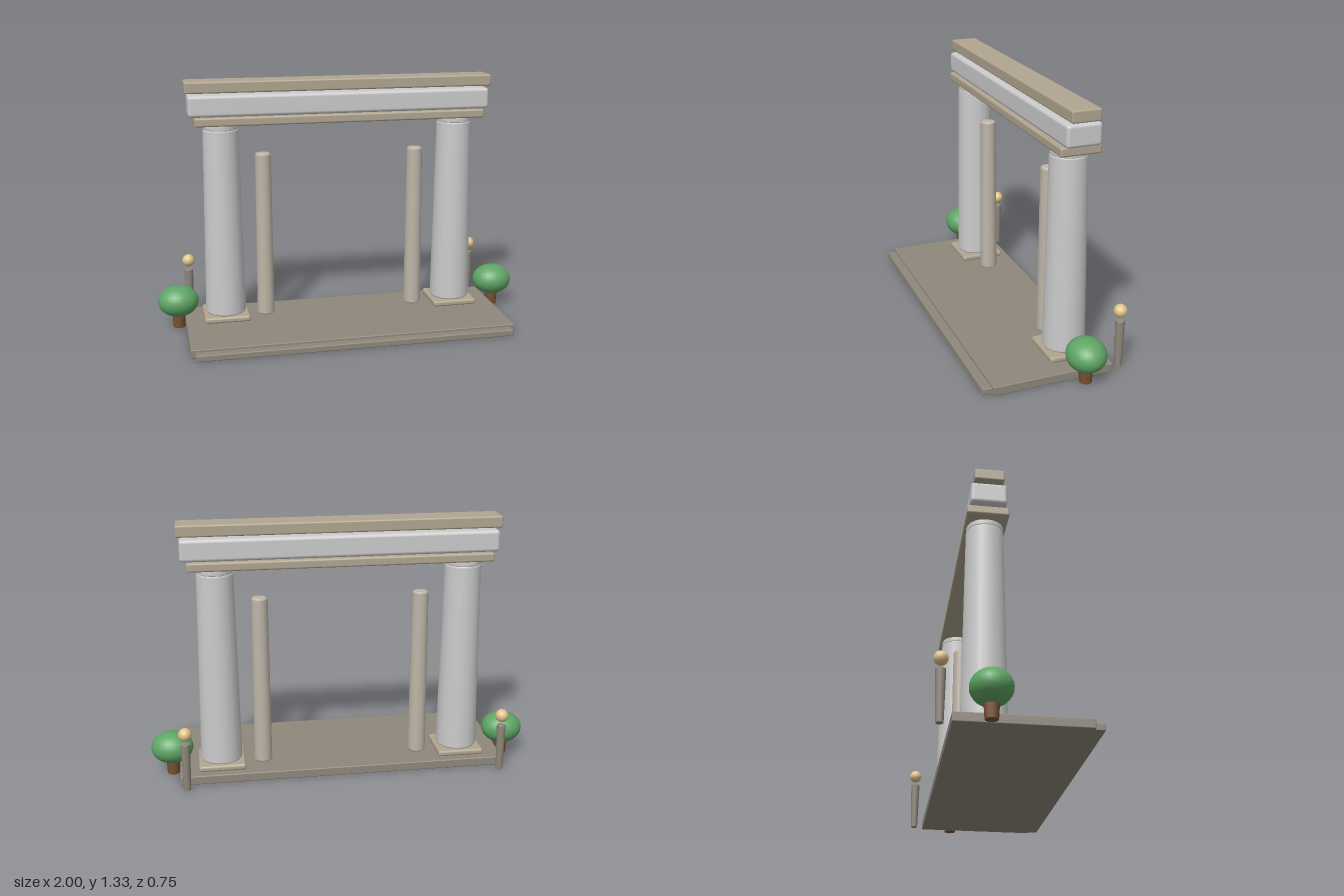
import * as THREE from 'three';
import { RoundedBoxGeometry } from 'three/addons/geometries/RoundedBoxGeometry.js';

const mat = (color) => new THREE.MeshStandardMaterial({ color });
const paleStone = mat(0xcccccc);
const stone = mat(0xb0a590);
const postStone = mat(0xbdb5a8);
const darkStone = mat(0x8f887c);
const lampGold = mat(0xe0c48c);
const leaf = mat(0x5fa566);
const bark = mat(0x7a5230);

const ROW_Z = -0.13; // line of the columns, posts and bushes

function add(parent, name, geometry, material, x = 0, y = 0, z = 0) {
  const mesh = new THREE.Mesh(geometry, material);
  mesh.name = name;
  mesh.position.set(x, y, z);
  parent.add(mesh);
  return mesh;
}

// Softly bevelled block given by its extents
function block(parent, name, material, [x0, x1], [y0, y1], [z0, z1], bevel) {
  const geometry = new RoundedBoxGeometry(x1 - x0, y1 - y0, z1 - z0, 2, bevel);
  return add(parent, name, geometry, material, (x0 + x1) / 2, (y0 + y1) / 2, (z0 + z1) / 2);
}

// Tapered round shaft with small rounded rims
function shaft(r0, r1, y0, y1, rim, sides = 20) {
  const points = [
    [0, y0], [r0 - rim, y0], [r0 - rim * 0.3, y0 + rim * 0.3], [r0, y0 + rim],
    [r1, y1 - rim], [r1 - rim * 0.3, y1 - rim * 0.3], [r1 - rim, y1], [0, y1],
  ].map(([x, y]) => new THREE.Vector2(x, y));
  return new THREE.LatheGeometry(points, sides);
}

// Everything standing on one side; s is +1 for left, -1 for right
function createSide(s) {
  const side = new THREE.Group();
  side.name = s > 0 ? 'leftSide' : 'rightSide';

  // Main column with plinth and neck ring
  const cx = s * 0.635;
  block(side, 'columnPlinth', stone, [cx - 0.122, cx + 0.122], [0.048, 0.08],
    [ROW_Z - 0.121, ROW_Z + 0.121], 0.012);
  add(side, 'column', shaft(0.108, 0.093, 0.078, 1.085, 0.012), paleStone, cx, 0, ROW_Z);
  add(side, 'columnNeck', shaft(0.091, 0.091, 1.08, 1.112, 0.006), paleStone, cx, 0, ROW_Z);

  // Slender inner post
  add(side, 'innerPost', shaft(0.047, 0.042, 0.048, 0.945, 0.012), postStone, s * 0.416, 0, ROW_Z);

  // Round bush on a short trunk
  const bx = s * 0.89;
  add(side, 'bushTrunk', new THREE.CylinderGeometry(0.036, 0.031, 0.085, 12), bark, bx, 0.048, ROW_Z);
  add(side, 'bushCrown', new THREE.SphereGeometry(1, 24, 16), leaf, bx, 0.152, ROW_Z)
    .scale.set(0.109, 0.084, 0.098);

  // Lamp bollard behind the platform
  add(side, 'lampPost', shaft(0.018, 0.024, 0.005, 0.258, 0.003, 12), darkStone, s * 0.819, 0, -0.343);
  add(side, 'lampGlobe', new THREE.SphereGeometry(0.034, 16, 12), lampGold, s * 0.819, 0.309, -0.343);
  return side;
}

export function createModel() {
  const model = new THREE.Group();
  model.name = 'gateway';

  // Platform and its front step
  block(model, 'platform', darkStone, [-0.855, 0.855], [0.004, 0.05], [-0.294, 0.328], 0.005);
  block(model, 'frontStep', darkStone, [-0.833, 0.833], [0.004, 0.037], [0.25, 0.375], 0.005);

  for (const s of [1, -1]) model.add(createSide(s));

  // Stacked lintel
  block(model, 'lowerBeam', stone, [-0.773, 0.773], [1.108, 1.154], [-0.232, -0.026], 0.01);
  block(model, 'mainBeam', paleStone, [-0.803, 0.803], [1.154, 1.266], [-0.218, -0.04], 0.018);
  block(model, 'capBeam', stone, [-0.818, 0.818], [1.275, 1.335], [-0.202, -0.056], 0.009);

  // Settle exactly on the ground
  for (const child of model.children) child.position.y -= 0.004;
  return model;
}
